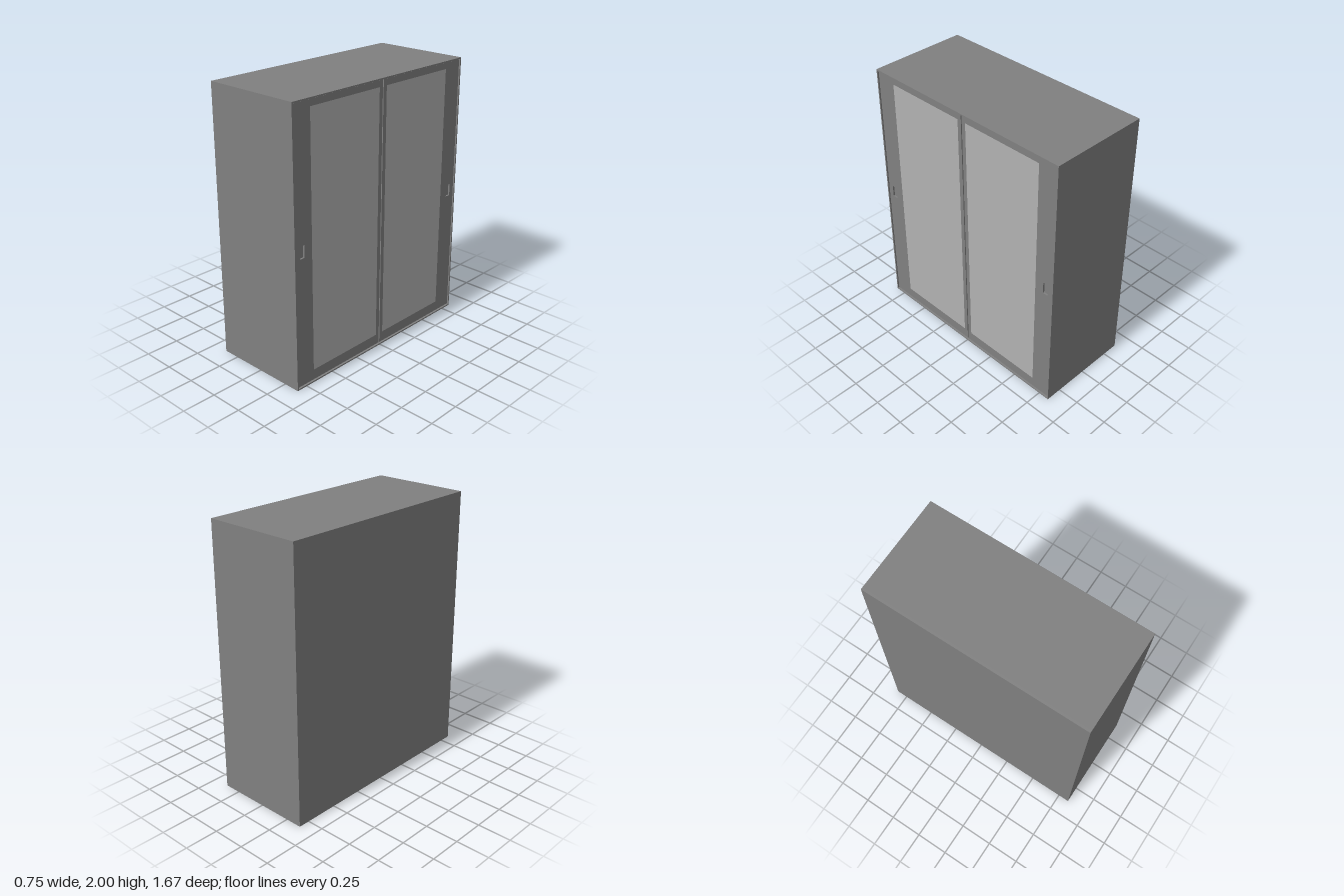
import * as THREE from 'three';

const HEIGHT = 2, HALF_X = 0.375, HALF_Z = 0.835;
const WALL = 0.01, BACK = 0.015, RECESS = 0.01, DOOR = 0.02;

const bodyMaterial = new THREE.MeshStandardMaterial({ color: 0x808080 });
const paneMaterial = new THREE.MeshStandardMaterial({ color: 0xb2b2b2 });

// Rectangle given by its corners; u runs along -z once the extrusion is turned
function rect(PathType, u0, u1, y0, y1) {
  return new PathType([
    new THREE.Vector2(u0, y0), new THREE.Vector2(u1, y0),
    new THREE.Vector2(u1, y1), new THREE.Vector2(u0, y1),
  ]);
}

// Extrude a side profile along x, from x0 to x1
function slab(name, shape, x0, x1, material) {
  const geometry = new THREE.ExtrudeGeometry(shape, { depth: x1 - x0, bevelEnabled: false });
  geometry.rotateY(Math.PI / 2).translate(x0, 0, 0);
  const mesh = new THREE.Mesh(geometry, material);
  mesh.name = name;
  return mesh;
}

// Rectangle on one half of the cabinet, mirrored by side (+1 or -1)
function half(PathType, side, a, b, y0, y1) {
  return rect(PathType, Math.min(side * a, side * b), Math.max(side * a, side * b), y0, y1);
}

function createDoor(name, side) {
  const door = new THREE.Group();
  door.name = name;
  const face = HALF_X - RECESS;
  const window = [0.035, 0.673, 0.09, 1.94];
  const pocket = [0.742, 0.784, 0.955, 1.045];

  // Door leaf with openings for the pane and the finger pull
  const leaf = half(THREE.Shape, side, 0.004, HALF_Z - WALL, WALL + 0.004, HEIGHT - WALL - 0.004);
  leaf.holes.push(half(THREE.Path, side, ...window), half(THREE.Path, side, ...pocket));
  door.add(slab('doorFrame', leaf, face - DOOR, face, bodyMaterial));

  // Flush pane and the floor of the sunken pull
  door.add(slab('doorPane', half(THREE.Shape, side, ...window), face - DOOR, face, paneMaterial));
  door.add(slab('fingerPull', half(THREE.Shape, side, ...pocket), face - DOOR, face - 0.012, bodyMaterial));
  return door;
}

export function createModel() {
  const cabinet = new THREE.Group();
  cabinet.name = 'cabinet';

  // Back panel and the open box of sides, top and bottom
  const outline = () => rect(THREE.Shape, -HALF_Z, HALF_Z, 0, HEIGHT);
  cabinet.add(slab('backPanel', outline(), -HALF_X, -HALF_X + BACK, bodyMaterial));
  const carcass = outline();
  carcass.holes.push(rect(THREE.Path, -HALF_Z + WALL, HALF_Z - WALL, WALL, HEIGHT - WALL));
  cabinet.add(slab('carcass', carcass, -HALF_X + BACK, HALF_X, bodyMaterial));

  // Pair of mirrored doors
  cabinet.add(createDoor('frontDoor', -1), createDoor('rearDoor', 1));
  return cabinet;
}
